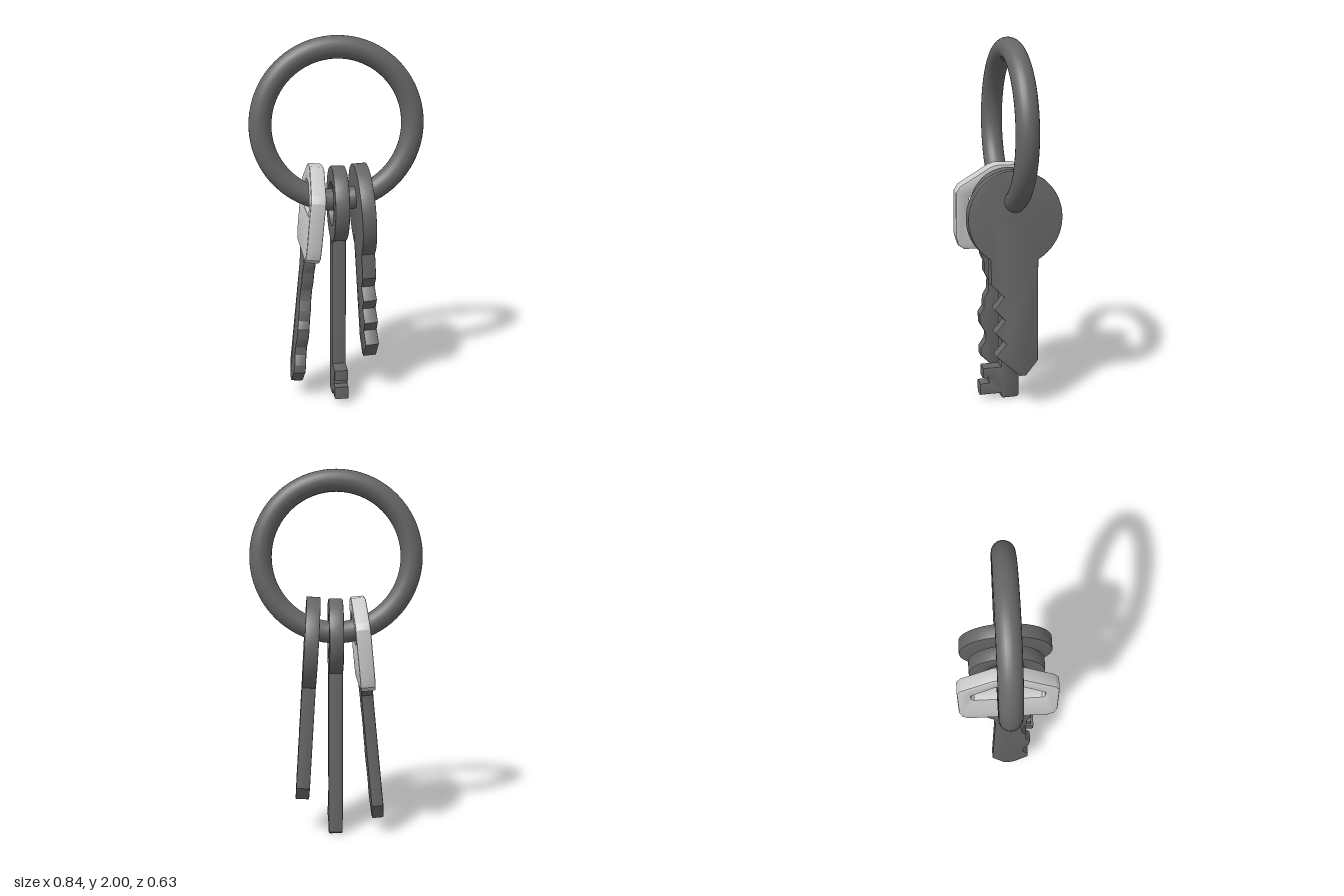
import * as THREE from 'three';
import { toCreasedNormals } from 'three/addons/utils/BufferGeometryUtils.js';

const RING_RADIUS = 0.407, TUBE = 0.06, RING_Y = 1.533, PIVOT_Y = 1.06;

const dark = new THREE.MeshStandardMaterial({ color: 0x666666 });
const light = new THREE.MeshStandardMaterial({ color: 0xcccccc });

// Extrude a (z, y) outline into a plate lying in the local yz plane
function plate(name, shape, thickness, material, bevel = 0.008) {
  let geo = new THREE.ExtrudeGeometry(shape, {
    depth: thickness - 2 * bevel, curveSegments: 40,
    bevelEnabled: true, bevelSize: bevel, bevelThickness: bevel, bevelOffset: -bevel, bevelSegments: 2,
  });
  geo.translate(0, 0, bevel - thickness / 2);
  geo.rotateY(-Math.PI / 2);
  geo = toCreasedNormals(geo, 0.5);
  geo.translate(0, -PIVOT_Y, 0);
  const mesh = new THREE.Mesh(geo, material);
  mesh.name = name;
  return mesh;
}

const polygon = (points) => new THREE.Shape(points.map(([z, y]) => new THREE.Vector2(z, y)));

// Round head joined to a blade; blade points run from the -z side round the tip to the +z side
function roundKeyShape(cy, r, zBack, zFront, blade) {
  const angle = (z) => Math.atan2(-Math.sqrt(r * r - z * z), z);
  const shape = new THREE.Shape();
  shape.absarc(0, cy, r, angle(zFront), angle(zBack) + Math.PI * 2, false);
  blade.forEach(([z, y]) => shape.lineTo(z, y));
  return shape;
}

// A key hung on the ring at local x, leaning outward
function hang(name, x, lean, ...parts) {
  const key = new THREE.Group();
  key.name = name;
  key.position.set(x, PIVOT_Y, 0);
  key.rotation.z = lean;
  key.add(...parts);
  return key;
}

export function createModel() {
  const model = new THREE.Group();
  model.name = 'keyRing';

  // Split-free round ring
  const ring = new THREE.Mesh(new THREE.TorusGeometry(RING_RADIUS, TUBE, 24, 80), dark);
  ring.name = 'ring';
  ring.position.y = RING_Y;
  model.add(ring);

  // Key with a solid round head and saw teeth
  const saw = roundKeyShape(1.065, 0.255, -0.12, 0.14, [
    [-0.112, 0.28], [-0.045, 0.2], [-0.01, 0.2], [0.12, 0.32],
    [0.062, 0.385], [0.122, 0.45], [0.065, 0.515], [0.124, 0.58],
    [0.07, 0.645], [0.138, 0.715],
  ]);
  model.add(hang('roundHeadKey', 0.139, 0.06, plate('roundHeadAndBlade', saw, 0.075, dark, 0.004)));

  // Warded key with an open bow and a notched bit
  const warded = roundKeyShape(1.105, 0.205, -0.052, 0.052, [
    [-0.052, 0.012], [-0.04, 0], [0.04, 0], [0.052, 0.012],
    [0.052, 0.03], [0.172, 0.03], [0.172, 0.1], [0.122, 0.1], [0.122, 0.13],
    [0.155, 0.13], [0.155, 0.19], [0.052, 0.19],
  ]);
  const bow = new THREE.Path();
  bow.absarc(0, 1.105, 0.115, 0, Math.PI * 2, true);
  warded.holes.push(bow);
  model.add(hang('wardedKey', 0.005, 0, plate('bowStemAndBit', warded, 0.078, dark)));

  // Key with an angular light head, wide hanging slot and wavy blade
  const half = [[0.22, 0.84], [0.255, 0.865], [0.27, 0.92], [0.27, 1.17], [0.25, 1.205], [0.08, 1.31], [0.05, 1.32]];
  const mirror = (pts) => pts.map(([z, y]) => [-z, y]).reverse();
  const head = polygon([...half, ...mirror(half)]);
  const slot = [[0.18, 1.085], [0.195, 1.1], [0.195, 1.14], [0.07, 1.225], [0.05, 1.23]];
  head.holes.push(polygon([...slot, ...mirror(slot)]));
  const wavy = polygon([
    [-0.14, 0.88], [-0.14, 0.84], [-0.085, 0.79], [-0.075, 0.73], [-0.1, 0.17], [-0.03, 0.08], [0.02, 0.08], [0.05, 0.1],
    [0.12, 0.17], [0.12, 0.215], [0.09, 0.265], [0.09, 0.31], [0.125, 0.37], [0.13, 0.43],
    [0.105, 0.47], [0.105, 0.53], [0.08, 0.58], [0.08, 0.64], [0.105, 0.69], [0.105, 0.75],
    [0.125, 0.79], [0.125, 0.88],
  ]);
  model.add(hang('angularHeadKey', -0.139, -0.095,
    plate('angularHead', head, 0.08, light, 0.01),
    plate('wavyBlade', wavy, 0.066, dark)));

  // The whole bunch is turned about the vertical
  model.rotation.y = -0.485;
  const group = new THREE.Group();
  group.name = 'bunchOfKeys';
  group.add(model);
  return group;
}
